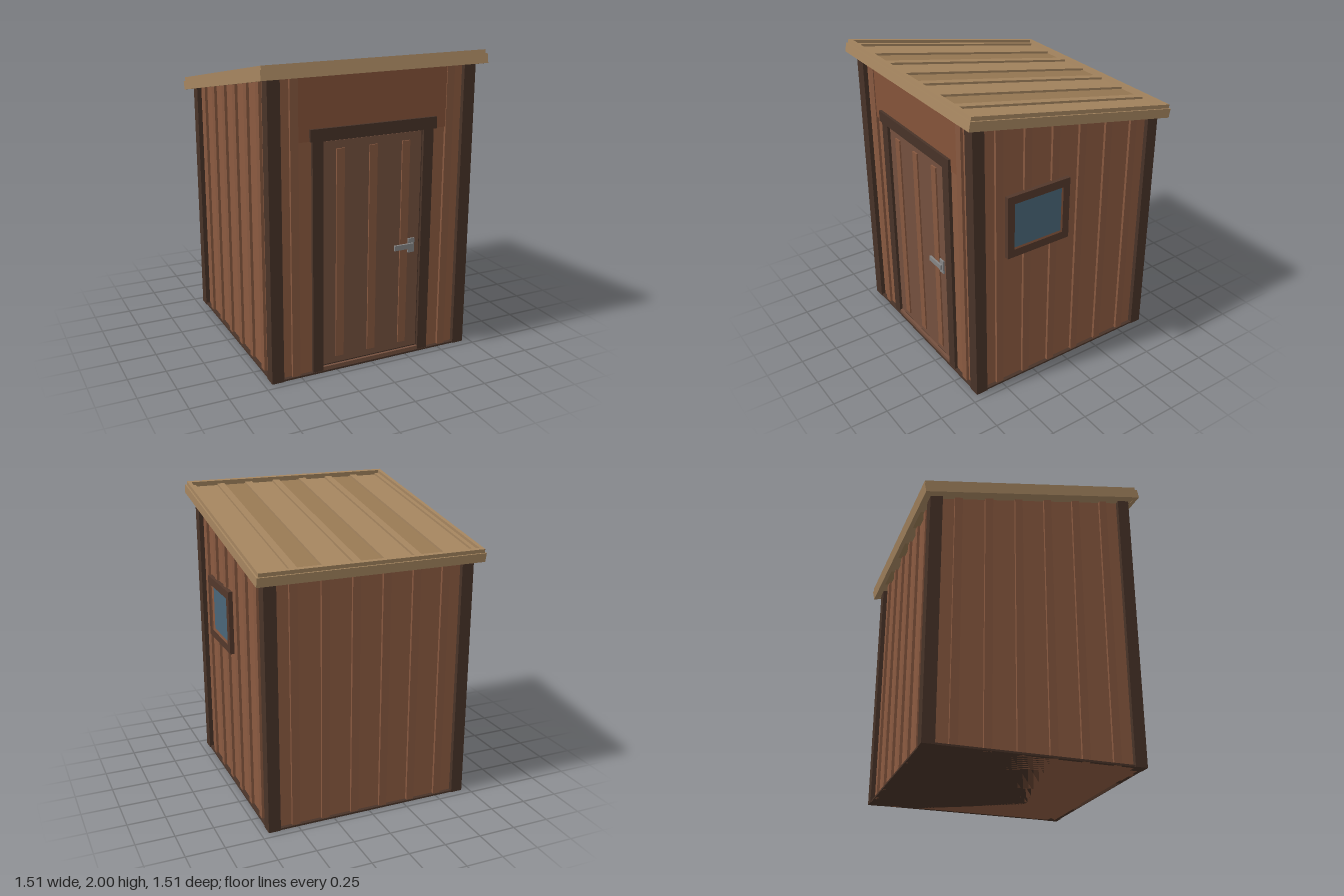
import * as THREE from 'three';

const mat = (color) => new THREE.MeshStandardMaterial({ color, flatShading: true, roughness: 0.9 });
const M = {
  wall: mat(0x8b5a40), batten: mat(0x87583f), header: mat(0x855339), trim: mat(0x483328),
  door: mat(0x74503e), sash: mat(0x53382b), glass: mat(0x4a6678), metal: mat(0x858585),
  roofA: mat(0xa68660), roofB: mat(0x997a54), roofTrim: mat(0xa68660),
};

const SLOPE = 0.2;
const roofY = (z) => 1.764 + SLOPE * z + 0.01; // just inside the underside of the roof
const STEPS = [-0.51, -0.306, -0.102, 0.102, 0.306, 0.51];

// Box given by its limits on each axis
function block(parent, name, material, [x0, x1], [y0, y1], [z0, z1]) {
  const g = new THREE.BoxGeometry(x1 - x0, y1 - y0, z1 - z0);
  g.translate((x0 + x1) / 2, (y0 + y1) / 2, (z0 + z1) / 2);
  const mesh = new THREE.Mesh(g, material);
  mesh.name = name;
  parent.add(mesh);
  return mesh;
}

// Box whose top is cut to the slope of the roof
function upright(parent, name, material, xs, y0, zs) {
  const mesh = block(parent, name, material, xs, [y0, y0 + 0.1], zs);
  const p = mesh.geometry.attributes.position;
  for (let i = 0; i < p.count; i++) {
    if (p.getY(i) > y0 + 0.05) p.setY(i, roofY(p.getZ(i)));
  }
  mesh.geometry.computeVertexNormals();
  return mesh;
}

function buildWalls() {
  const walls = new THREE.Group();
  walls.name = 'walls';
  const W = 0.67, B = 0.688, h = 0.026;
  upright(walls, 'wallCore', M.wall, [-W, W], 0, [-W, W]);
  block(walls, 'floor', M.trim, [-0.695, 0.695], [0, 0.012], [-0.695, 0.695]);

  // Corner posts
  for (const x of [-0.7, 0.62]) {
    for (const z of [-0.7, 0.62]) upright(walls, 'cornerPost', M.trim, [x, x + 0.08], 0, [z, z + 0.08]);
  }

  // Battens on the back and both sides, interrupted by the window
  for (const s of STEPS) {
    upright(walls, 'backBatten', M.batten, [s - h, s + h], 0, [-B, -W]);
    upright(walls, 'rightBatten', M.batten, [-B, -W], 0, [s - h, s + h]);
    if (s > 0 && s < 0.4) {
      block(walls, 'leftBattenLower', M.batten, [W, B], [0, 0.955], [s - h, s + h]);
      upright(walls, 'leftBattenUpper', M.batten, [W, B], 1.395, [s - h, s + h]);
    } else {
      upright(walls, 'leftBatten', M.batten, [W, B], 0, [s - h, s + h]);
    }
  }

  // Front battens and the panel above the door
  for (const s of [-0.53, 0.53]) upright(walls, 'frontBatten', M.batten, [s - h, s + h], 0, [W, B]);
  upright(walls, 'headerPanel', M.header, [-0.504, 0.504], 1.52, [W, 0.682]);
  return walls;
}

function buildDoor() {
  const door = new THREE.Group();
  door.name = 'door';
  block(door, 'doorPanel', M.door, [-0.338, 0.338], [0.045, 1.51], [0.66, 0.676]);
  block(door, 'doorGap', M.trim, [-0.345, 0.345], [0.03, 1.525], [0.66, 0.672]);
  block(door, 'threshold', M.door, [-0.345, 0.345], [0, 0.036], [0.66, 0.69]);
  for (const x of [-0.227, -0.003, 0.225]) {
    block(door, 'doorBatten', M.batten, [x - 0.027, x + 0.027], [0.09, 1.46], [0.67, 0.686]);
  }
  for (const x of [-0.415, 0.345]) block(door, 'jamb', M.trim, [x, x + 0.07], [0, 1.525], [0.66, 0.692]);
  block(door, 'lintel', M.trim, [-0.432, 0.432], [1.52, 1.595], [0.66, 0.7]);
  block(door, 'handlePlate', M.metal, [0.257, 0.302], [0.715, 0.81], [0.67, 0.687]);
  block(door, 'handleLever', M.metal, [0.152, 0.29], [0.745, 0.779], [0.687, 0.7]);
  return door;
}

function buildWindow() {
  const win = new THREE.Group();
  win.name = 'window';
  // Frame with a rectangular opening, drawn in (z, y) and turned to face +x
  const shape = new THREE.Shape([[-0.005, 0.96], [0.46, 0.96], [0.46, 1.387], [-0.005, 1.387]]
    .map(([z, y]) => new THREE.Vector2(-z, y)));
  shape.holes.push(new THREE.Path([[0.045, 1.013], [0.41, 1.013], [0.41, 1.332], [0.045, 1.332]]
    .map(([z, y]) => new THREE.Vector2(-z, y))));
  const g = new THREE.ExtrudeGeometry(shape, { depth: 0.04, bevelEnabled: false });
  g.rotateY(Math.PI / 2).translate(0.66, 0, 0);
  const frame = new THREE.Mesh(g, M.sash);
  frame.name = 'windowFrame';
  win.add(frame);
  block(win, 'glass', M.glass, [0.66, 0.676], [1.01, 1.335], [0.04, 0.415]);
  return win;
}

// Four rails forming a rectangular ring
function ring(parent, name, material, x, z, t, ys) {
  for (const s of [-1, 1]) {
    const span = (a) => (s > 0 ? [a - t, a] : [-a, t - a]);
    block(parent, name + 'Side', material, span(x), ys, [-z, z]);
    block(parent, name + 'End', material, [t - x, x - t], ys, span(z));
  }
}

function buildRoof() {
  const roof = new THREE.Group();
  roof.name = 'roof';
  const L = 0.764;
  // Boards in alternating tones, with battens over the joints
  const joints = [-0.74, ...STEPS, 0.74];
  for (let i = 0; i < joints.length - 1; i++) {
    block(roof, 'roofBoard', i % 2 ? M.roofB : M.roofA, [joints[i], joints[i + 1]], [0.002, 0.052], [-L + 0.02, L - 0.02]);
  }
  for (const x of [-0.706, ...STEPS, 0.706]) {
    const w = Math.abs(x) > 0.6 ? 0.016 : 0.025;
    block(roof, 'roofBatten', M.roofA, [x - w, x + w], [0.05, 0.066], [-L + 0.04, L - 0.04]);
  }
  ring(roof, 'fascia', M.roofTrim, 0.755, L, 0.03, [0, 0.06]);
  ring(roof, 'rim', M.roofTrim, 0.745, L - 0.008, 0.026, [0.04, 0.085]);
  roof.rotation.x = -Math.atan(SLOPE);
  roof.position.set(0, 1.765, 0.006);
  return roof;
}

export function createModel() {
  const shed = new THREE.Group();
  shed.name = 'shed';
  shed.add(buildWalls(), buildDoor(), buildWindow(), buildRoof());
  return shed;
}
